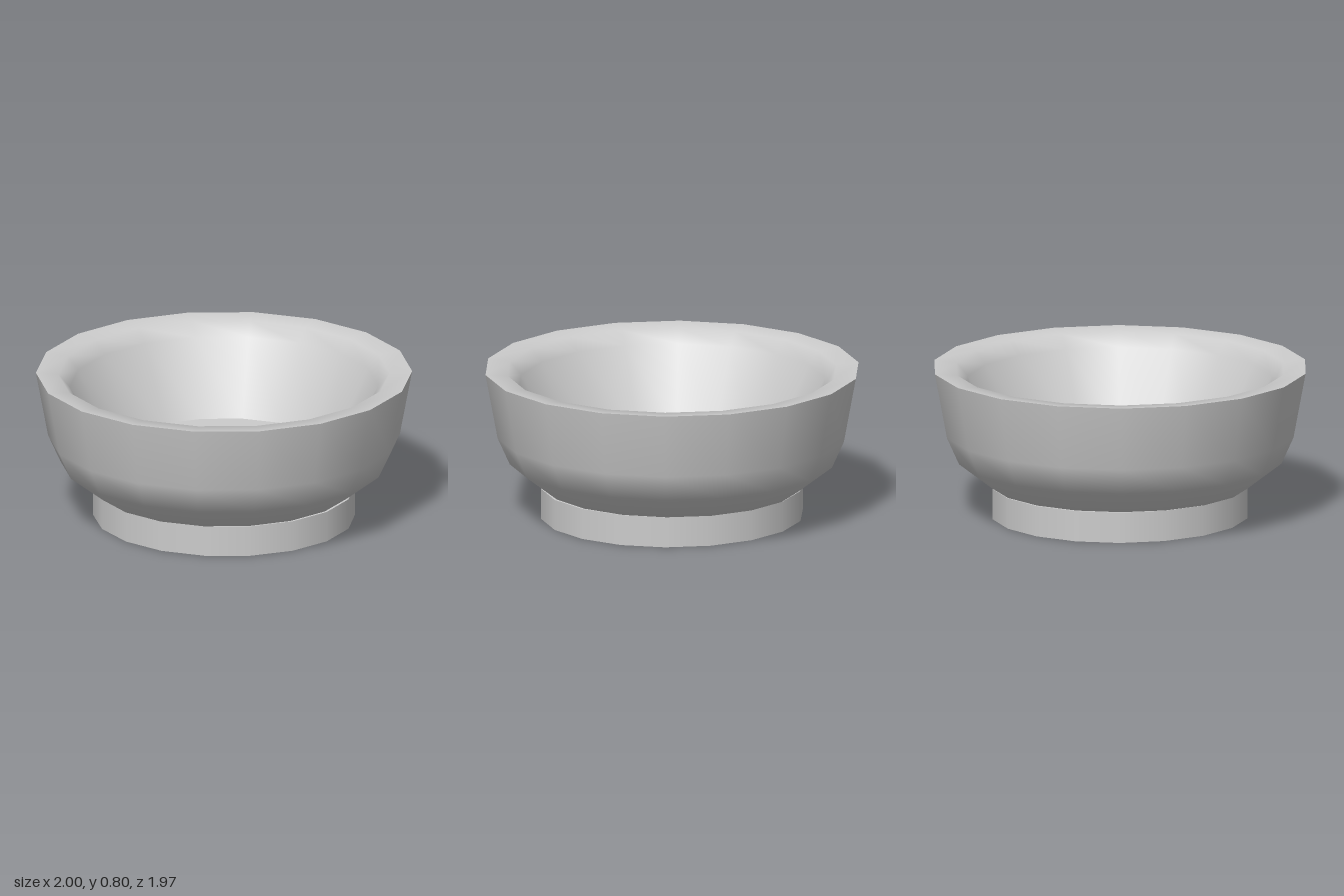
import * as THREE from 'three';

const SIDES = 18;

// Revolves one smooth stretch of profile; separate stretches meet in a sharp edge
function revolve(name, profile, material) {
  const points = profile.map(([r, y]) => new THREE.Vector2(r, y));
  const mesh = new THREE.Mesh(new THREE.LatheGeometry(points, SIDES, Math.PI / 2), material);
  mesh.name = name;
  return mesh;
}

export function createModel() {
  const model = new THREE.Group();
  model.name = 'bowl';
  const grey = new THREE.MeshStandardMaterial({ color: 0xcccccc });

  // Vessel: outer wall, rounded lip running into the inner wall, flat floor
  const vessel = new THREE.Group();
  vessel.name = 'vessel';
  vessel.add(
    revolve('outerWall', [[0.69, 0.165], [0.87, 0.305], [0.935, 0.45], [1, 0.8]], grey),
    revolve('lipAndInnerWall', [[1, 0.8], [0.88, 0.79], [0.82, 0.72], [0.62, 0.33]], grey),
    revolve('floor', [[0.62, 0.33], [0, 0.33]], grey),
  );

  // Foot: short solid drum, slightly narrower front to back
  const foot = new THREE.Group();
  foot.name = 'foot';
  foot.add(
    revolve('footBase', [[0, 0], [0.704, 0]], grey),
    revolve('footWall', [[0.704, 0], [0.704, 0.165]], grey),
    revolve('footTop', [[0.704, 0.165], [0, 0.165]], grey),
  );
  foot.scale.z = 0.975;

  model.add(vessel, foot);
  return model;
}
